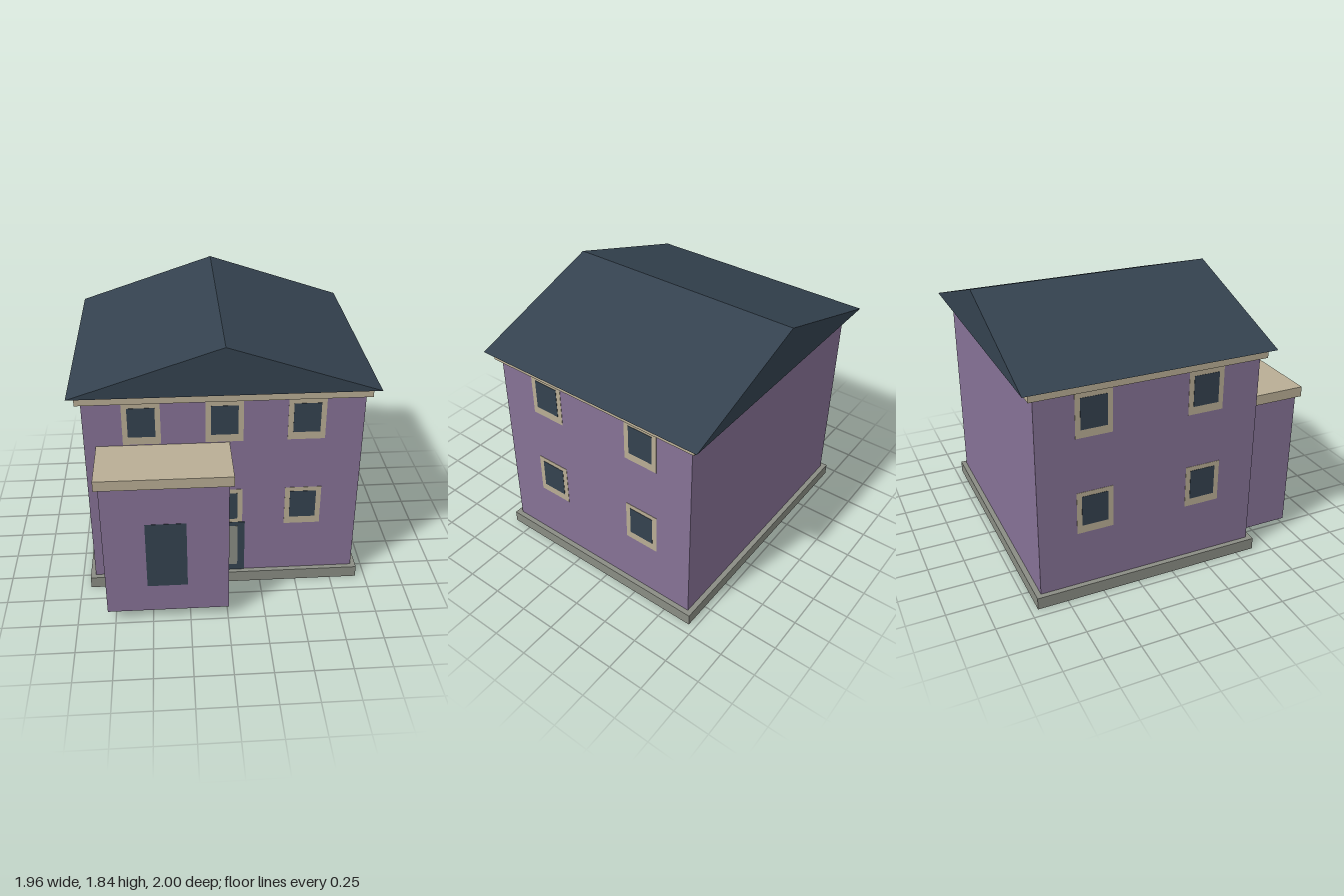
import * as THREE from 'three';

const mat = (name, color) => {
  const m = new THREE.MeshStandardMaterial({ color });
  m.name = name;
  return m;
};

export function createModel() {
  const wall = mat('purple wall', 0x867296);
  const trim = mat('beige trim', 0xb9ae95);
  const slate = mat('dark slate', 0x34424f);
  const stone = mat('grey stone', 0x8a8d84);

  const house = new THREE.Group();
  house.name = 'house';

  // Box given by its limits on each axis
  const box = (name, material, [x0, x1], [y0, y1], [z0, z1], parent = house) => {
    const mesh = new THREE.Mesh(new THREE.BoxGeometry(x1 - x0, y1 - y0, z1 - z0), material);
    mesh.position.set((x0 + x1) / 2, (y0 + y1) / 2, (z0 + z1) / 2);
    mesh.name = name;
    parent.add(mesh);
    return mesh;
  };

  // Main block
  box('foundation', stone, [-0.935, 0.935], [0, 0.083], [-0.953, 0.63]);
  box('walls', wall, [-0.9, 0.9], [0.083, 1.45], [-0.918, 0.595]);
  box('eaveBand', trim, [-0.935, 0.935], [1.45, 1.513], [-0.953, 0.63]);

  // Gable roof, ridge running front to back
  const gable = new THREE.Shape();
  gable.moveTo(-0.98, 1.513);
  gable.lineTo(0.98, 1.513);
  gable.lineTo(0, 1.837);
  gable.closePath();
  const roof = new THREE.Mesh(
    new THREE.ExtrudeGeometry(gable, { depth: 1.67, bevelEnabled: false }), slate);
  roof.position.z = -1;
  roof.name = 'roof';
  house.add(roof);

  // Front annex with flat cap and a tall window
  box('annexWalls', wall, [-0.8, 0.005], [0.077, 1.063], [0.603, 0.972]);
  box('annexCap', trim, [-0.825, 0.033], [1.063, 1.133], [0.595, 1]);
  box('annexWindow', slate, [-0.528, -0.265], [0.285, 0.78], [0.97, 0.974]);

  // Framed window: thin plates facing +z, then turned to its wall
  const addWindow = (name, x, y, z, turn) => {
    const g = new THREE.Group();
    g.name = name;
    box('windowFrame', trim, [-0.122, 0.122], [-0.147, 0.147], [-0.002, 0.002], g);
    box('windowPane', slate, [-0.088, 0.088], [-0.093, 0.116], [0, 0.004], g);
    g.position.set(x, y, z);
    g.rotation.y = turn;
    house.add(g);
  };
  for (const y of [0.616, 1.287]) {
    for (const x of [-0.53, 0, 0.53]) addWindow('frontWindow', x, y, 0.595, 0);
    for (const z of [-0.54, 0.216]) {
      addWindow('leftWindow', 0.9, y, z, Math.PI / 2);
      addWindow('rightWindow', -0.9, y, z, -Math.PI / 2);
    }
  }

  // Front door
  box('doorFrame', slate, [-0.14, 0.14], [0.083, 0.495], [0.594, 0.6]);
  box('doorPanel', stone, [-0.092, 0.092], [0.132, 0.464], [0.596, 0.602]);

  return house;
}
